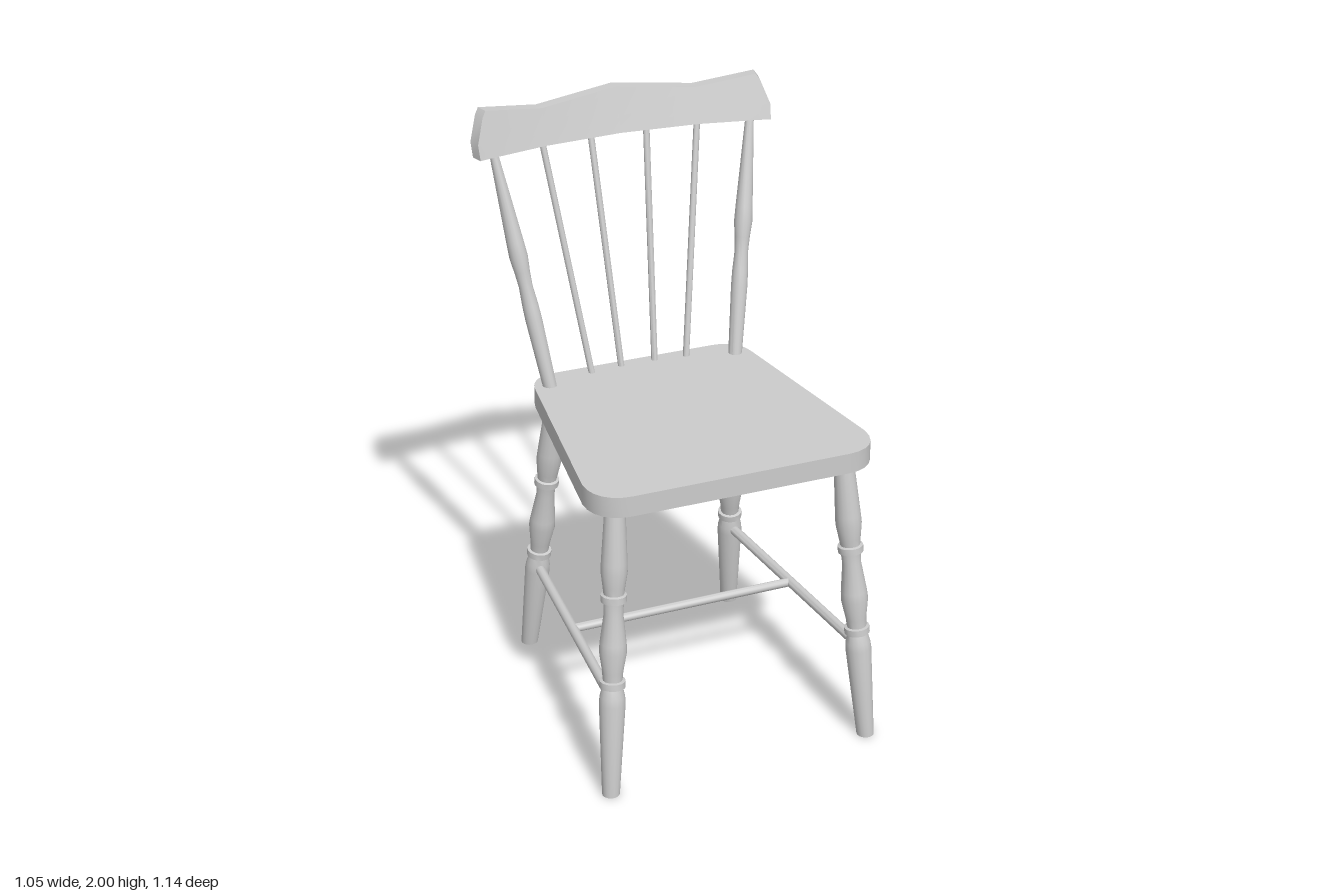
import * as THREE from 'three';
import { toCreasedNormals } from 'three/addons/utils/BufferGeometryUtils.js';

const material = new THREE.MeshStandardMaterial({ color: 0xcccccc });
const V = (x, y, z) => new THREE.Vector3(x, y, z);

function addMesh(group, name, geometry, crease = 0.6) {
  const mesh = new THREE.Mesh(toCreasedNormals(geometry, crease), material);
  mesh.name = name;
  group.add(mesh);
}

// Turned part: profile of [radius, fraction along the axis] running from a to b
function turned(profile, a, b, sides = 16) {
  const axis = b.clone().sub(a);
  const length = axis.length();
  axis.normalize();
  const points = profile.map(([r, t]) => new THREE.Vector2(r, t * length));
  const geo = new THREE.LatheGeometry(points, sides);
  geo.applyQuaternion(new THREE.Quaternion().setFromUnitVectors(V(0, 1, 0), axis));
  geo.translate(a.x, a.y, a.z);
  return geo;
}

const rod = (r, a, b) => turned([[0, 0], [r, 0], [r, 1], [0, 1]], a, b, 12);

const LEG = [
  [0, 0], [0.029, 0], [0.043, 0.32], [0.041, 0.345], [0.034, 0.375],
  [0.042, 0.378], [0.042, 0.4], [0.032, 0.402], [0.034, 0.43],
  [0.045, 0.5], [0.043, 0.53], [0.031, 0.63], [0.033, 0.668],
  [0.042, 0.671], [0.042, 0.693], [0.033, 0.696], [0.036, 0.72],
  [0.043, 0.77], [0.042, 0.8], [0.032, 1], [0, 1],
];

const POST = [
  [0, 0], [0.023, 0], [0.028, 0.3], [0.027, 0.36], [0.023, 0.44],
  [0.026, 0.5], [0.031, 0.56], [0.029, 0.62], [0.015, 0.96], [0.014, 1], [0, 1],
];

// Leg with its foot slid along the axis to stand flat on the floor
function legGeometry(foot, top) {
  const geo = turned(LEG, foot, top);
  const axis = top.clone().sub(foot);
  const p = geo.attributes.position;
  for (let i = 0; i < p.count; i++) {
    const y = p.getY(i);
    if (y > 0.03) continue;
    const t = y / axis.y;
    p.setXYZ(i, p.getX(i) - axis.x * t, 0, p.getZ(i) - axis.z * t);
  }
  return geo;
}

// Tapered seat board with rounded corners
function seatGeometry() {
  const s = new THREE.Shape();
  s.moveTo(-0.37, -0.53);
  s.lineTo(0.37, -0.53);
  s.bezierCurveTo(0.44, -0.53, 0.49, -0.48, 0.486, -0.4);
  s.lineTo(0.393, 0.29);
  s.bezierCurveTo(0.385, 0.35, 0.35, 0.385, 0.285, 0.385);
  s.lineTo(-0.285, 0.385);
  s.bezierCurveTo(-0.35, 0.385, -0.385, 0.35, -0.393, 0.29);
  s.lineTo(-0.486, -0.4);
  s.bezierCurveTo(-0.49, -0.48, -0.44, -0.53, -0.37, -0.53);
  const geo = new THREE.ExtrudeGeometry(s, { depth: 0.07, bevelEnabled: false, curveSegments: 6 });
  return geo.rotateX(-Math.PI / 2).translate(0, 1, 0);
}

// Curved, leaning top rail with a wavy upper edge, mapped from a gridded box
function railGeometry() {
  const columnX = [0, 0.27, 0.475];
  const columnTop = [2, 1.97, 2, 1.98];
  const endX = [0.512, 0.515, 0.488];
  const geo = new THREE.BoxGeometry(6, 2, 1, 6, 2, 1);
  const p = geo.attributes.position;
  for (let i = 0; i < p.count; i++) {
    const column = Math.round(Math.abs(p.getX(i)));
    const row = Math.round(p.getY(i)) + 1;
    const depth = p.getZ(i) < 0 ? 0.043 : 0;
    const x = column < 3 ? columnX[column] : endX[row];
    const y = [1.85, 1.9, columnTop[column]][row];
    const z = -0.49 + 0.27 * x * x - depth - (y - 1.85) * 0.25;
    p.setXYZ(i, Math.sign(p.getX(i)) * (x + depth * 0.54 * x), y, z);
  }
  return geo;
}

export function createModel() {
  const chair = new THREE.Group();
  chair.name = 'chair';

  addMesh(chair, 'seat', seatGeometry());
  addMesh(chair, 'topRail', railGeometry(), 0.5);

  for (const [side, s] of [['left', 1], ['right', -1]]) {
    // Legs
    addMesh(chair, side + 'FrontLeg', legGeometry(V(s * 0.458, 0, 0.54), V(s * 0.393, 1.01, 0.44)));
    addMesh(chair, side + 'BackLeg', legGeometry(V(s * 0.387, 0, -0.447), V(s * 0.323, 1.01, -0.293)));

    // Side stretcher
    addMesh(chair, side + 'Stretcher', rod(0.017, V(s * 0.436, 0.335, 0.5), V(s * 0.366, 0.335, -0.395)));

    // Back post and spindles
    addMesh(chair, side + 'BackPost', turned(POST, V(s * 0.335, 1.05, -0.297), V(s * 0.456, 1.87, -0.467)));
    addMesh(chair, side + 'InnerSpindle', rod(0.011, V(s * 0.06, 1.05, -0.35), V(s * 0.1, 1.88, -0.517)));
    addMesh(chair, side + 'OuterSpindle', rod(0.011, V(s * 0.17, 1.05, -0.338), V(s * 0.278, 1.88, -0.5)));
  }

  // Stretcher joining the two side stretchers
  addMesh(chair, 'crossStretcher', rod(0.015, V(-0.4, 0.335, 0.05), V(0.4, 0.335, 0.05)));

  return chair;
}
